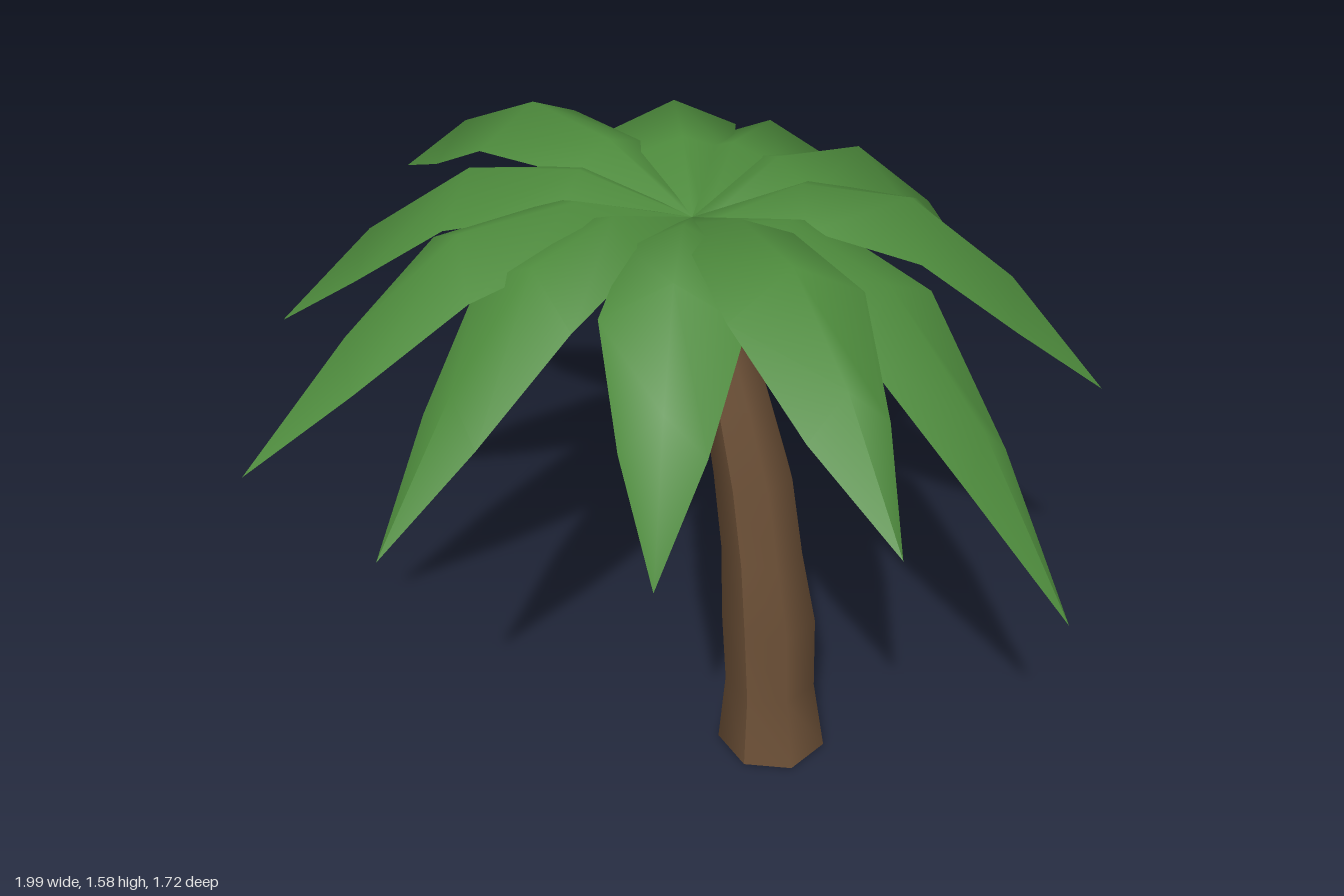
import * as THREE from 'three';

// Surface lofted through rings of points; each ring has the same point count
function loft(rings) {
  const n = rings[0].length, index = [];
  for (let i = 0; i < rings.length - 1; i++) {
    for (let j = 0; j < n - 1; j++) {
      const a = i * n + j, b = a + n;
      index.push(a, a + 1, b, a + 1, b + 1, b);
    }
  }
  const geometry = new THREE.BufferGeometry();
  geometry.setAttribute('position', new THREE.Float32BufferAttribute(rings.flat(2), 3));
  geometry.setIndex(index);
  geometry.computeVertexNormals();
  return geometry;
}

// Rib heights, half widths and edge drops at even steps from crown to tip
const RIB = [1.44, 1.54, 1.55, 1.42, 1.21];
const HALF_WIDTH = [0.03, 0.115, 0.15, 0.09, 0];
const EDGE_DROP = [0.01, 0.05, 0.08, 0.09, 0];

function frondGeometry([tipX, tipY, tipZ, lift = 0]) {
  const length = Math.hypot(tipX, tipZ);
  const dx = tipX / length, dz = tipZ / length;
  const rings = RIB.map((ribY, i) => {
    const t = i / (RIB.length - 1);
    const y = ribY - (RIB[4] - tipY) * t * t + lift * Math.sin(Math.PI * t);
    return [-1, 0, 1].map((side) => {
      const w = side * HALF_WIDTH[i];
      const r = length * t + Math.abs(w) * 0.15;
      return [dx * r - dz * w, y - Math.abs(side) * EDGE_DROP[i], dz * r + dx * w];
    });
  });
  return loft(rings);
}

export function createModel() {
  const model = new THREE.Group();
  model.name = 'palmTree';
  const bark = new THREE.MeshStandardMaterial({ color: 0x6b4f36 });
  const leaf = new THREE.MeshStandardMaterial({ color: 0x4d8a3c, side: THREE.DoubleSide });
  const husk = new THREE.MeshStandardMaterial({ color: 0xa5641c, flatShading: true });
  const add = (parent, name, geometry, material) => {
    const mesh = new THREE.Mesh(geometry, material);
    mesh.name = name;
    parent.add(mesh);
    return mesh;
  };

  // Leaning seven-sided trunk: height, centre x, radius
  const sections = [
    [0, 0.25, 0.14], [0.2, 0.24, 0.115], [0.41, 0.23, 0.118], [0.61, 0.205, 0.1],
    [0.82, 0.175, 0.095], [1.02, 0.125, 0.08], [1.2, 0.075, 0.07], [1.43, 0.015, 0.055],
  ];
  const sides = 7;
  const rings = sections.map(([y, cx, r]) => Array.from({ length: sides + 1 }, (_, j) => {
    const a = (j / sides) * Math.PI * 2;
    return [cx + Math.sin(a) * r, y, 0.005 + Math.cos(a) * r];
  }));
  add(model, 'trunk', loft(rings), bark);

  // Flat caps at the foot and the top of the trunk
  for (const [name, [y, cx, r], tilt] of [
    ['trunkBase', sections[0], Math.PI / 2], ['trunkTop', sections[7], -Math.PI / 2],
  ]) {
    const cap = new THREE.CircleGeometry(r, sides, tilt > 0 ? Math.PI / 2 : -Math.PI / 2);
    cap.rotateX(tilt);
    add(model, name, cap, bark).position.set(cx, y, 0.005);
  }

  // Crown of drooping fronds: tip x, y, z and optional arch
  const crown = new THREE.Group();
  crown.name = 'crown';
  model.add(crown);
  const tips = [
    [0.99, 0.75, 0.04], [0.81, 1.21, 0.55, 0.025], [0.36, 1.04, 0.71], [-0.23, 0.96, 0.86],
    [-0.63, 1.0, 0.83], [-0.93, 1.06, 0.37], [-1, 1.21, -0.2], [-0.5, 1.14, -0.63],
    [-0.11, 0.95, -0.86], [0.38, 0.97, -0.82], [0.83, 1.03, -0.45],
  ];
  for (const tip of tips) add(crown, 'frond', frondGeometry(tip), leaf);

  // Row of small nuts hanging beside the trunk
  const nuts = new THREE.Group();
  nuts.name = 'nuts';
  model.add(nuts);
  for (let i = 0; i < 4; i++) {
    const nut = add(nuts, 'nut', new THREE.IcosahedronGeometry(0.037), husk);
    nut.position.set(0.078 + i * 0.019, 1.355 - i * 0.052, 0.055);
  }
  return model;
}
